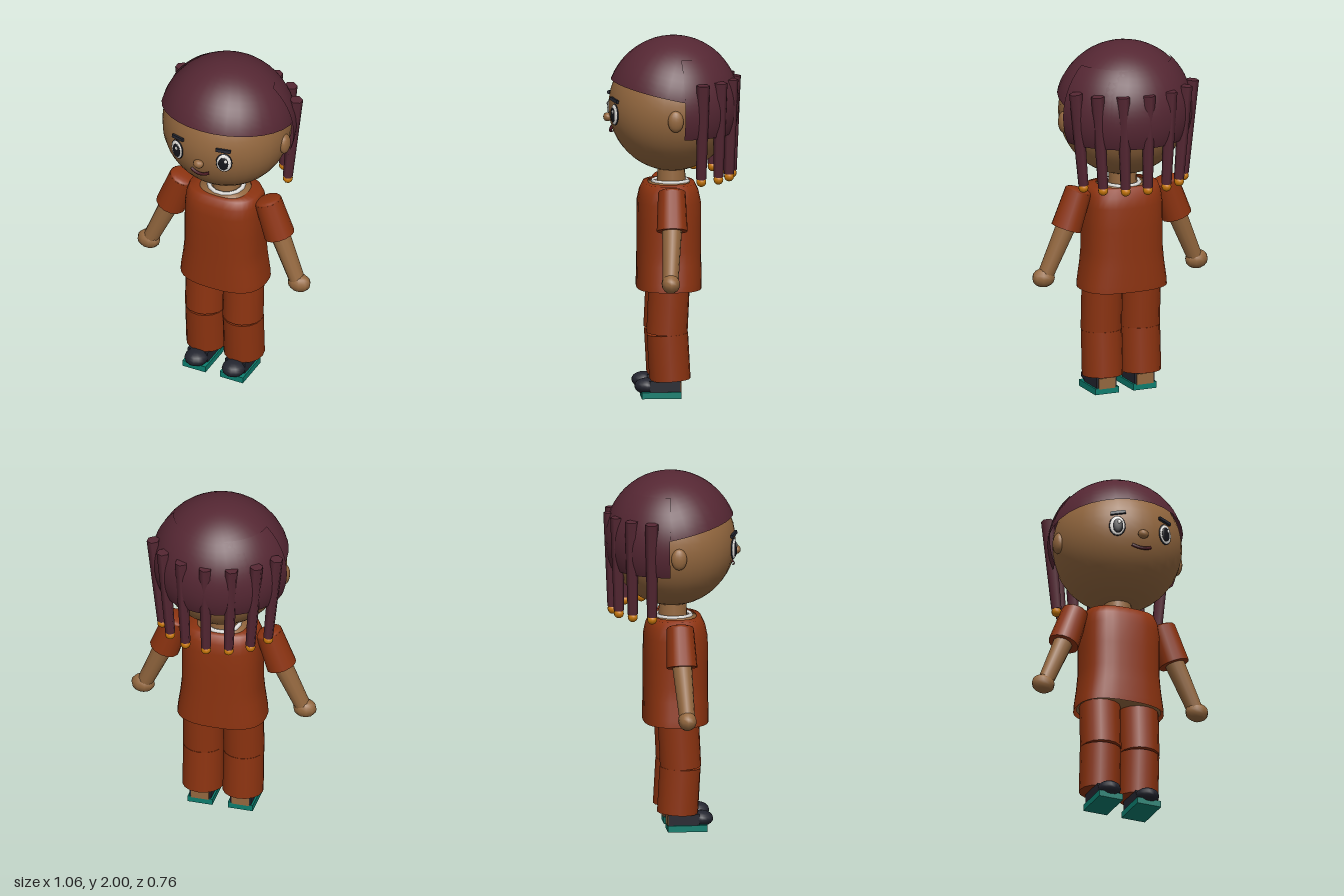
import * as THREE from 'three';

const mat = (name, color, side = THREE.FrontSide) => {
  const m = new THREE.MeshStandardMaterial({ color, side });
  m.name = name;
  return m;
};

export function createModel() {
  const root = new THREE.Group();
  root.name = 'child';
  const skin = mat('skin', 0x94683f);
  const hair = mat('hair', 0x552733, THREE.DoubleSide);
  const cloth = mat('rustCloth', 0x8c3310, THREE.DoubleSide);
  const bead = mat('amberBead', 0xc97808);
  const navy = mat('navy', 0x23252f);
  const teal = mat('tealSole', 0x0c7d6e);
  const white = mat('white', 0xe8e6e2);
  const black = mat('pupil', 0x14151b);
  const lip = mat('lip', 0x4a1a22);

  const add = (name, geo, material, x = 0, y = 0, z = 0, parent = root) => {
    const m = new THREE.Mesh(geo, material);
    m.name = name;
    m.position.set(x, y, z);
    parent.add(m);
    return m;
  };
  const ball = (name, material, p, r, w = 20, h = 14) => {
    const m = add(name, new THREE.SphereGeometry(1, w, h), material, ...p);
    m.scale.set(...r);
    return m;
  };
  // Tapered cylinder from point a (radius ra) to point b (radius rb)
  const limb = (name, material, a, b, ra, rb, sides = 14) => {
    const A = new THREE.Vector3(...a), B = new THREE.Vector3(...b);
    const dir = A.clone().sub(B);
    const m = add(name, new THREE.CylinderGeometry(ra, rb, dir.length(), sides), material);
    m.position.copy(A).add(B).multiplyScalar(0.5);
    m.quaternion.setFromUnitVectors(new THREE.Vector3(0, 1, 0), dir.normalize());
    return m;
  };
  // Rounded-oval rings [y, halfWidth, halfDepth] joined into a skin
  const loft = (rings, power, n = 32) => {
    const pos = [], idx = [];
    const soft = v => Math.sign(v) * Math.abs(v) ** (2 / power);
    rings.forEach(([y, rx, rz], j) => {
      for (let i = 0; i < n; i++) {
        const a = (i / n) * Math.PI * 2;
        pos.push(rx * soft(Math.sin(a)), y, rz * soft(Math.cos(a)));
        if (j < rings.length - 1) {
          const p = j * n + i, q = j * n + (i + 1) % n;
          idx.push(p, q, q + n, p, q + n, p + n);
        }
      }
    });
    const g = new THREE.BufferGeometry();
    g.setAttribute('position', new THREE.Float32BufferAttribute(pos, 3));
    g.setIndex(idx);
    g.computeVertexNormals();
    return g;
  };

  // Head and neck
  ball('head', skin, [0, 1.61, -0.005], [0.36, 0.36, 0.352], 32, 24);
  add('neck', new THREE.CylinderGeometry(0.075, 0.08, 0.16, 16), skin, 0, 1.23, 0);
  ball('nose', skin, [0, 1.55, 0.352], [0.031, 0.025, 0.025], 10, 8);

  // Hair cap, tilted so the rim is higher at the front
  const cap = add('hairCap', new THREE.SphereGeometry(0.38, 32, 14, 0, Math.PI * 2, 0, 1.39), hair, 0, 1.62, -0.008);
  cap.rotation.x = -0.205;
  cap.scale.z = 0.97;
  // Hair shell around the back of the head
  add('backHair', new THREE.SphereGeometry(0.388, 28, 14, Math.PI + 0.14, Math.PI - 0.28, 0.76, 1.21), hair, 0, 1.62, 0)
    .scale.z = 0.965;

  // Seven braids with beads
  for (let i = -3; i <= 3; i++) {
    const a = i * 0.378, s = Math.sin(a), c = Math.cos(a);
    limb('braid', hair, [0.39 * s, 1.775, -0.34 * c - 0.008], [0.335 * s, 1.245, -0.328 * c - 0.006], 0.037, 0.028, 6);
    ball('braidBead', bead, [0.335 * s, 1.23, -0.328 * c - 0.006], [0.028, 0.028, 0.028], 10, 8);
  }

  // Mouth: a shallow smile
  const smile = new THREE.QuadraticBezierCurve3(
    new THREE.Vector3(-0.055, 1.488, 0.325),
    new THREE.Vector3(0, 1.458, 0.345),
    new THREE.Vector3(0.055, 1.488, 0.325));
  add('mouth', new THREE.TubeGeometry(smile, 12, 0.009, 6), lip);

  // Shirt
  const torso = loft([
    [0.6, 0.25, 0.18], [0.64, 0.247, 0.18], [0.74, 0.232, 0.178], [0.82, 0.224, 0.177],
    [0.95, 0.224, 0.177], [1.08, 0.222, 0.176], [1.14, 0.215, 0.163],
    [1.185, 0.2, 0.142], [1.188, 0.14, 0.115],
  ], 2.6);
  add('shirt', torso, cloth, 0, 0, 0.014);
  add('upperChest', loft([[1.12, 0.16, 0.13], [1.183, 0.145, 0.12], [1.192, 0.07, 0.07]], 2.2), skin, 0, 0, 0.014);
  add('hips', loft([[0.62, 0.001, 0.001], [0.615, 0.235, 0.165], [0.66, 0.2, 0.15]], 2.6), skin, 0, 0, 0.014);
  const collar = add('collar', new THREE.TorusGeometry(0.096, 0.013, 5, 14), white, 0, 1.19, 0.005);
  collar.rotation.x = Math.PI / 2;

  for (const s of [1, -1]) {
    // Ears
    ball('ear', skin, [s * 0.358, 1.575, 0], [0.028, 0.06, 0.044], 14, 10);

    // Eyes, turned along the curve of the face
    const eye = new THREE.Group();
    eye.name = 'eye';
    eye.position.set(s * 0.143, 1.585, 0.32);
    eye.rotation.y = s * 0.36;
    root.add(eye);
    const disc = (name, material, rx, ry, x, y, z, d) => {
      const m = add(name, new THREE.SphereGeometry(1, 20, 10), material, x, y, z, eye);
      m.scale.set(rx, ry, d);
    };
    disc('eyeRim', navy, 0.046, 0.061, 0, 0, 0.002, 0.009);
    disc('eyeWhite', white, 0.041, 0.056, 0, 0, 0.006, 0.01);
    disc('pupil', black, 0.029, 0.043, -s * 0.003, -0.002, 0.012, 0.008);
    disc('eyeGlint', white, 0.009, 0.011, 0.01, 0.018, 0.02, 0.004);
    const brow = add('eyebrow', new THREE.BoxGeometry(0.085, 0.018, 0.014), navy, s * 0.14, 1.665, 0.325);
    brow.rotation.set(-0.15, s * 0.4, -s * 0.08);

    // Arms
    limb('sleeve', cloth, [s * 0.262, 1.165, 0.015], [s * 0.334, 0.96, 0.018], 0.076, 0.086);
    const shoulder = ball('shoulder', cloth, [s * 0.262, 1.165, 0.015], [0.076, 0.022, 0.076], 14, 8);
    shoulder.rotation.z = s * 0.34;
    limb('arm', skin, [s * 0.322, 1.0, 0.017], [s * 0.452, 0.7, 0.035], 0.056, 0.044, 12);
    ball('hand', skin, [s * 0.463, 0.687, 0.035], [0.067, 0.054, 0.052], 10, 8);

    // Trouser legs, slightly bent at the knee
    const x = s * 0.115;
    limb('upperLeg', cloth, [x, 0.66, 0.018], [x, 0.357, 0.032], 0.114, 0.114, 16);
    limb('lowerLeg', cloth, [x, 0.356, 0.029], [x, 0.1, 0.015], 0.114, 0.114, 16);

    // Feet and open-heeled shoes
    add('ankle', new THREE.CylinderGeometry(0.055, 0.055, 0.12, 12), skin, x, 0.09, 0.01);
    add('heel', new THREE.BoxGeometry(0.1, 0.06, 0.06), skin, x, 0.06, -0.016);
    add('sole', new THREE.BoxGeometry(0.142, 0.036, 0.22), teal, x, 0.018, 0.065);
    add('shoeUpper', new THREE.BoxGeometry(0.122, 0.062, 0.17), navy, x, 0.067, 0.045);
    ball('shoeToe', navy, [x, 0.064, 0.145], [0.066, 0.044, 0.068], 14, 10);
  }
  return root;
}
